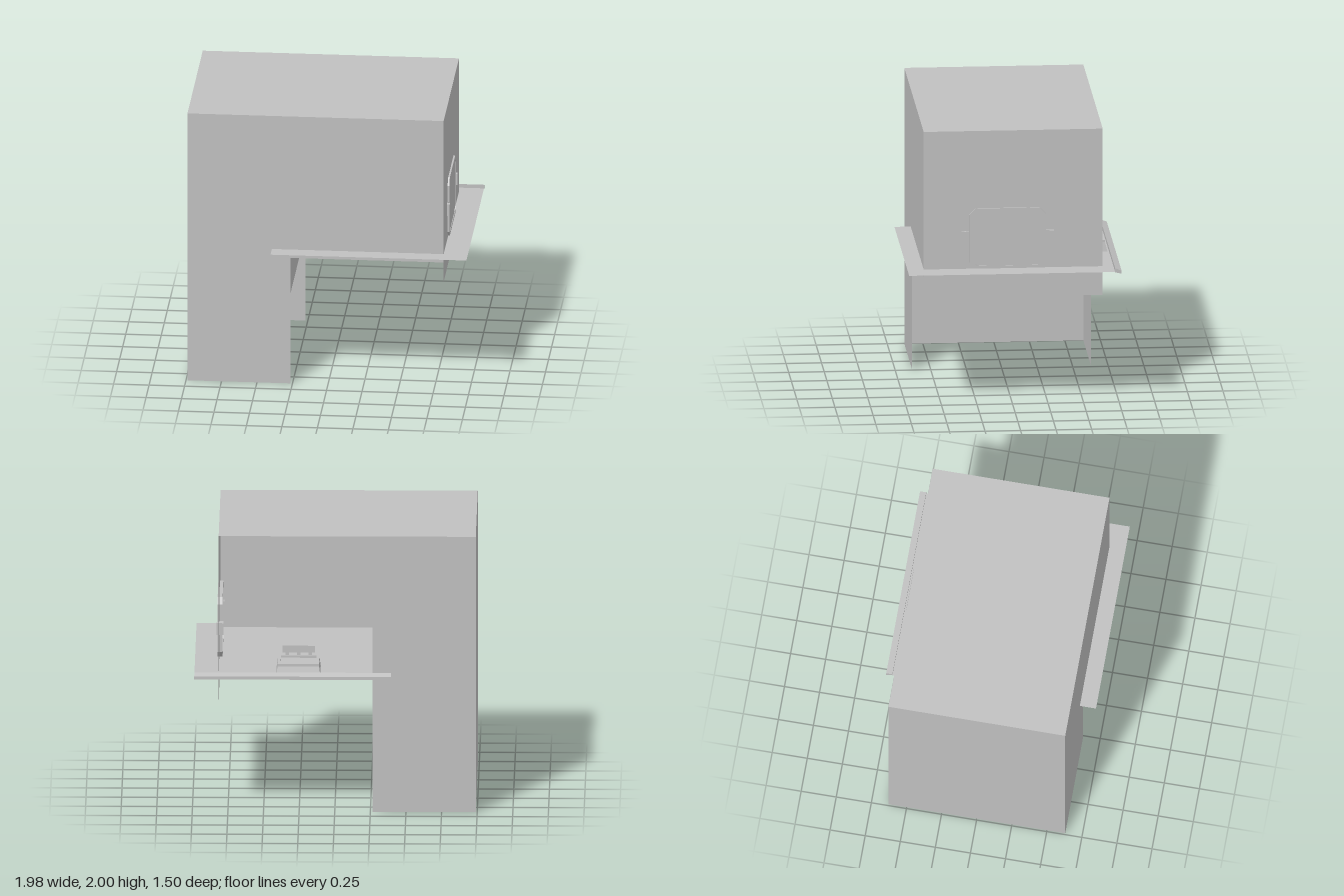
import * as THREE from 'three';

export function createModel() {
  const model = new THREE.Group();
  const grey = new THREE.MeshStandardMaterial({ color: 0xc0c0c0, side: THREE.DoubleSide });
  grey.name = 'plain grey';

  const add = (name, geometry, parent = model) => {
    const mesh = new THREE.Mesh(geometry, grey);
    mesh.name = name;
    parent.add(mesh);
    return mesh;
  };
  // Box given by its lower and upper corners
  const box = (name, [x0, y0, z0], [x1, y1, z1], parent) =>
    add(name, new THREE.BoxGeometry(x1 - x0, y1 - y0, z1 - z0)
      .translate((x0 + x1) / 2, (y0 + y1) / 2, (z0 + z1) / 2), parent);
  const outline = (pts, Type = THREE.Shape) => new Type(pts.map(p => new THREE.Vector2(...p)));
  const rect = (a0, b0, a1, b1, Type) => outline([[a0, b0], [a1, b0], [a1, b1], [a0, b1]], Type);
  // Flat sheet facing along x, outlined in (z, y)
  const sheetX = (name, shape, x) =>
    add(name, new THREE.ShapeGeometry(shape).rotateY(-Math.PI / 2).translate(x, 0, 0));
  // Slab outlined in (z, y) and running from x0 to x1
  const slabX = (name, shape, x0, x1, parent) =>
    add(name, new THREE.ExtrudeGeometry(shape, { depth: x1 - x0, bevelEnabled: false })
      .rotateY(-Math.PI / 2).translate(x1, 0, 0), parent);
  // Horizontal sheet
  const sheetY = (name, x0, z0, x1, z1, y) =>
    add(name, new THREE.PlaneGeometry(x1 - x0, z1 - z0).rotateX(-Math.PI / 2)
      .translate((x0 + x1) / 2, y, (z0 + z1) / 2));

  // Shell walls
  const W = -0.99, M = -0.265, E = 0.815, D = 0.63;
  add('frontWall', new THREE.ShapeGeometry(outline(
    [[W, 0], [M, 0], [M, 0.94], [E, 0.94], [E, 2], [W, 2]])).translate(0, 0, D));
  add('backWall', new THREE.ShapeGeometry(rect(W, 0, M, 2)).translate(0, 0, -D));
  sheetX('outerSideWall', rect(-D, 0, D, 2), W);
  sheetX('doorWall', rect(-D, 0.795, D, 2), E);
  const inner = rect(-D, 0.67, D, 2);
  inner.holes.push(rect(-0.38, 1.02, 0.38, 1.575, THREE.Path));
  sheetX('innerWall', inner, M);
  sheetY('roof', W, -D, E, D, 2);

  // Floor with raised rear lip
  sheetY('floor', -0.395, -0.75, 0.985, 0.745, 1.003);
  slabX('floorLip', outline([[-0.705, 1.0], [-0.705, 1.03], [-0.75, 1.012], [-0.75, 0.99]]), -0.395, 0.985);

  // Double door, chamfered at the corners
  const door = new THREE.Group();
  door.name = 'door';
  model.add(door);
  const C = 0.04;
  const octagon = (hw, y0, y1, c, Type) => outline([
    [C - hw + c, y0], [C + hw - c, y0], [C + hw, y0 + c], [C + hw, y1 - c],
    [C + hw - c, y1], [C - hw + c, y1], [C - hw, y1 - c], [C - hw, y0 + c]], Type);
  const frame = octagon(0.27, 1.005, 1.44, 0.045);
  frame.holes.push(octagon(0.25, 1.025, 1.42, 0.037, THREE.Path));
  slabX('doorFrame', frame, 0.792, 0.827, door);
  for (const s of [-1, 1]) {
    const z = d => C + s * d;
    const span = (a, b) => [Math.min(z(a), z(b)), Math.max(z(a), z(b))];
    const leaf = outline([[z(0.005), 1.02], [z(0.22), 1.02], [z(0.252), 1.055],
      [z(0.252), 1.39], [z(0.22), 1.422], [z(0.005), 1.422]]);
    slabX('doorLeaf', leaf, 0.806, 0.823, door);
    const [h0, h1] = span(0.265, 0.325);
    box('doorLatch', [0.785, 1.19, h0], [0.82, 1.275, h1], door);
    const [g0, g1] = span(0.295, 0.325);
    box('latchGrip', [0.8, 1.19, g0], [0.835, 1.275, g1], door);

    // Raised framing on the room side of each leaf
    const trim = rect(...[span(0.012, 0.24)].flatMap(([a, b]) => [a, 1.05, b, 1.39]));
    for (const [a, b] of [span(0.035, 0.115), span(0.14, 0.22)])
      trim.holes.push(rect(a, 1.18, b, 1.25, THREE.Path));
    for (const d of [0.07, 0.17]) {
      const [a, b] = span(d, d + 0.02);
      trim.holes.push(rect(a, 1.3, b, 1.37, THREE.Path), rect(a, 1.07, b, 1.11, THREE.Path));
    }
    slabX('leafTrim', trim, 0.797, 0.807, door);
  }

  // Low seat with tapered base, rim and back bar
  const seat = new THREE.Group();
  seat.name = 'seat';
  model.add(seat);
  const base = new THREE.BoxGeometry(0.31, 0.07, 0.285).translate(0.255, 1.035, -0.5525);
  const p = base.attributes.position;
  for (let i = 0; i < p.count; i++) if (p.getY(i) > 1.04) {
    p.setX(i, 0.255 + (p.getX(i) - 0.255) * 0.94);
    p.setZ(i, -0.5525 + (p.getZ(i) + 0.5525) * 0.87);
  }
  base.computeVertexNormals();
  add('seatBase', base, seat);
  const rim = rect(0.11, 0.43, 0.4, 0.677);
  rim.holes.push(rect(0.13, 0.45, 0.38, 0.66, THREE.Path));
  add('seatRim', new THREE.ExtrudeGeometry(rim, { depth: 0.017, bevelEnabled: false })
    .rotateX(-Math.PI / 2).translate(0, 1.068, 0), seat);
  for (const x of [0.175, 0.255, 0.335])
    box('backPost', [x - 0.012, 1.0, -0.38], [x + 0.012, 1.1, -0.362], seat);
  box('backBar', [0.14, 1.09, -0.385], [0.37, 1.14, -0.36], seat);

  return model;
}
